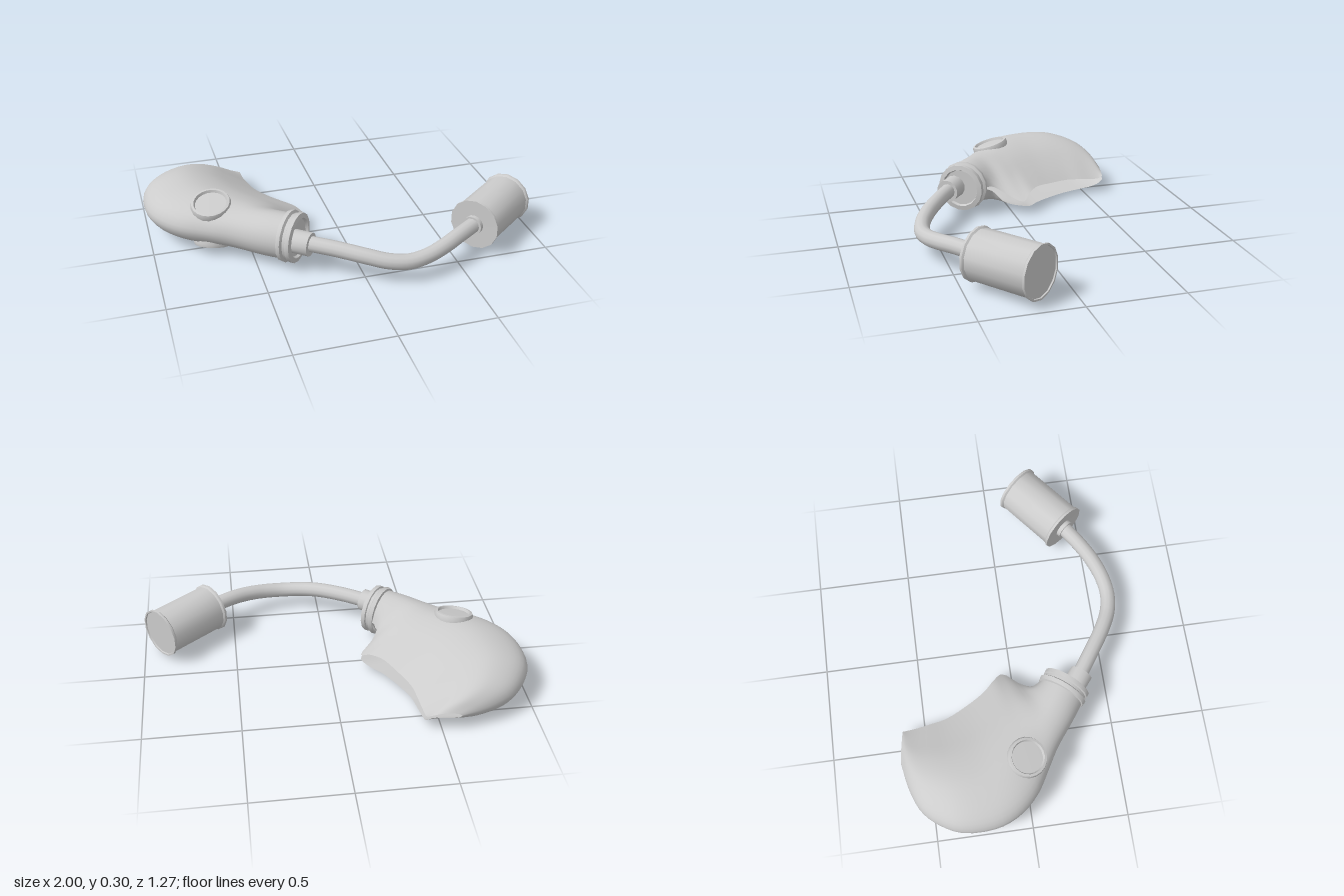
import * as THREE from 'three';
import { toCreasedNormals } from 'three/addons/utils/BufferGeometryUtils.js';

const V = (x, y, z) => new THREE.Vector3(x, y, z);
const material = new THREE.MeshStandardMaterial({ color: 0xcccccc, side: THREE.DoubleSide });

function part(name, geometry) {
  const mesh = new THREE.Mesh(geometry, material);
  mesh.name = name;
  return mesh;
}

// Turned part: profile of [radius, height] pairs, placed at pos with its axis along dir
function turned(name, profile, sides, pos, dir) {
  const pts = profile.map(([r, h]) => new THREE.Vector2(r, h));
  const mesh = part(name, toCreasedNormals(new THREE.LatheGeometry(pts, sides), 0.6));
  mesh.position.copy(pos);
  mesh.quaternion.setFromUnitVectors(V(0, 1, 0), dir.clone().normalize());
  return mesh;
}

// Mask shell: sections run from the upper rim, round the face side, to the lower rim
function maskGeometry() {
  // outer x, z, inner x, z, height scale, middle y, upper rim y, lower rim y, roundness
  const stations = [
    [-0.40, 0.35, -0.24, 0.17, 1, 0.16, 0.16, 0.16, 1],
    [-0.50, 0.28, -0.28, 0.10, 0.95, 0.16, 0.14, 0.07, 0.6],
    [-0.63, 0.18, -0.25, 0.04, 0.9, 0.16, 0.11, 0.04, 0.2],
    [-0.74, 0.115, -0.17, -0.05, 0.9, 0.16, 0.085, 0.06, 0],
    [-0.86, 0.04, -0.21, -0.10, 0.95, 0.16, 0.12, 0.04, 0],
    [-0.95, -0.06, -0.27, -0.16, 1, 0.16, 0.13, 0.035, 0],
    [-1.0, -0.18, -0.33, -0.26, 1, 0.16, 0.12, 0.035, 0],
    [-1.0, -0.36, -0.385, -0.38, 0.97, 0.16, 0.11, 0.035, 0],
    [-0.94, -0.48, -0.40, -0.47, 0.86, 0.15, 0.10, 0.04, 0],
    [-0.86, -0.56, -0.41, -0.54, 0.68, 0.14, 0.09, 0.045, 0],
    [-0.74, -0.61, -0.415, -0.59, 0.45, 0.125, 0.09, 0.06, 0],
    [-0.59, -0.64, -0.42, -0.615, 0.12, 0.11, 0.10, 0.08, 0],
  ];
  // [distance from face side, height] of the two halves
  const upper = [[1, 0], [0.8, 0.42], [0.6, 0.8], [0.38, 1], [0.18, 0.85], [0.05, 0.5]];
  const lower = [[0.05, 0.5], [0.18, 0.85], [0.38, 1], [0.6, 1], [0.8, 0.98], [1, 0]];
  const sections = stations.map(([ox, oz, ix, iz, h, mid, rimU, rimL, round]) => {
    const at = (v, y, i) => {
      const a = (i / 12) * Math.PI * 2;
      const w = THREE.MathUtils.lerp(v, 0.5 + 0.5 * Math.cos(a), round);
      const yy = THREE.MathUtils.lerp(y, mid + 0.12 * Math.sin(a), round);
      return V(ox + (ix - ox) * w, yy, oz + (iz - oz) * w);
    };
    const top = mid + 0.125 * h, low = mid - 0.128 * h;
    return [
      ...upper.map(([v, a], i) => at(v, v > 0.38 ? rimU + (top - rimU) * a : mid + (top - mid) * a, i)),
      at(0, mid, 6),
      ...lower.map(([v, a], i) => at(v, v > 0.5 ? rimL + (low - rimL) * a : mid + (low - mid) * a, i + 7)),
    ];
  });
  const rows = 36, cols = 36, pos = [], index = [];
  const along = sections[0].map((_, i) => new THREE.CatmullRomCurve3(sections.map((s) => s[i]), false, 'centripetal'));
  for (let r = 0; r <= rows; r++) {
    const ring = new THREE.CatmullRomCurve3(along.map((c) => c.getPoint(r / rows)), false, 'centripetal');
    for (let c = 0; c <= cols; c++) {
      pos.push(...ring.getPoint(c / cols).toArray());
      if (r < rows && c < cols) {
        const a = r * (cols + 1) + c, b = a + cols + 1;
        index.push(a, a + 1, b, a + 1, b + 1, b);
      }
    }
  }
  const g = new THREE.BufferGeometry();
  g.setAttribute('position', new THREE.Float32BufferAttribute(pos, 3));
  // wind the faces so that they look outward at the face side
  for (let i = 0; i < index.length; i += 3) [index[i + 1], index[i + 2]] = [index[i + 2], index[i + 1]];
  g.setIndex(index);
  g.computeVertexNormals();
  // check one face-side normal and turn the shell if it looks inward
  const k = 18 * (cols + 1) + cols / 2;
  if (g.attributes.normal.getX(k) > 0) {
    g.setIndex(index.reverse());
    g.computeVertexNormals();
  }
  return g;
}

export function createModel() {
  const model = new THREE.Group();
  model.name = 'breathingMask';
  model.add(part('maskShell', maskGeometry()));

  // Eye pieces, mirrored above and below the middle plane
  const eye = [[0.08, -0.035], [0.102, -0.03], [0.106, -0.005], [0.1, 0.012], [0.088, 0.014], [0.082, 0], [0, 0.002]];
  for (const s of [1, -1]) {
    model.add(turned(s > 0 ? 'upperEyepiece' : 'lowerEyepiece', eye, 20,
      V(-0.685, 0.16 + s * 0.112, 0.01), V(-0.12, s, 0.27)));
  }

  // Mouth ring with recessed face, and the hose socket
  const axis = V(0.78, 0, 0.63);
  model.add(turned('mouthRing', [[0.112, -0.045], [0.134, -0.04], [0.138, -0.018], [0.124, -0.01], [0.124, 0.004],
    [0.132, 0.008], [0.132, 0.03], [0.106, 0.035], [0.1, 0.02], [0, 0.02]], 16, V(-0.31, 0.16, 0.265), axis));
  model.add(turned('hoseSocket', [[0.062, 0], [0.062, 0.115], [0, 0.115]], 14, V(-0.335, 0.163, 0.295), axis));

  // Hose sagging between mask and canister
  const path = new THREE.CatmullRomCurve3([
    V(-0.27, 0.165, 0.345), V(-0.14, 0.162, 0.435), V(0, 0.147, 0.525), V(0.1, 0.13, 0.572), V(0.2, 0.122, 0.59),
    V(0.3, 0.13, 0.577), V(0.4, 0.145, 0.54), V(0.5, 0.158, 0.485), V(0.64, 0.162, 0.395)]);
  model.add(part('hose', new THREE.TubeGeometry(path, 40, 0.041, 12)));

  // Filter canister with raised rims at both ends
  const canDir = V(0.285, 0, -0.225);
  const can = [[0, 0.004], [0.125, 0], [0.137, 0], [0.137, 0.012], [0.129, 0.02],
    [0.129, 0.345], [0.137, 0.353], [0.137, 0.365], [0.128, 0.365], [0.126, 0.358], [0, 0.358]];
  model.add(turned('filterCanister', can, 14, V(0.62, 0.16, 0.408), canDir));
  model.add(turned('canisterInlet', [[0, 0], [0.052, 0], [0.052, 0.03]], 14, V(0.604, 0.16, 0.42), canDir));
  return model;
}
